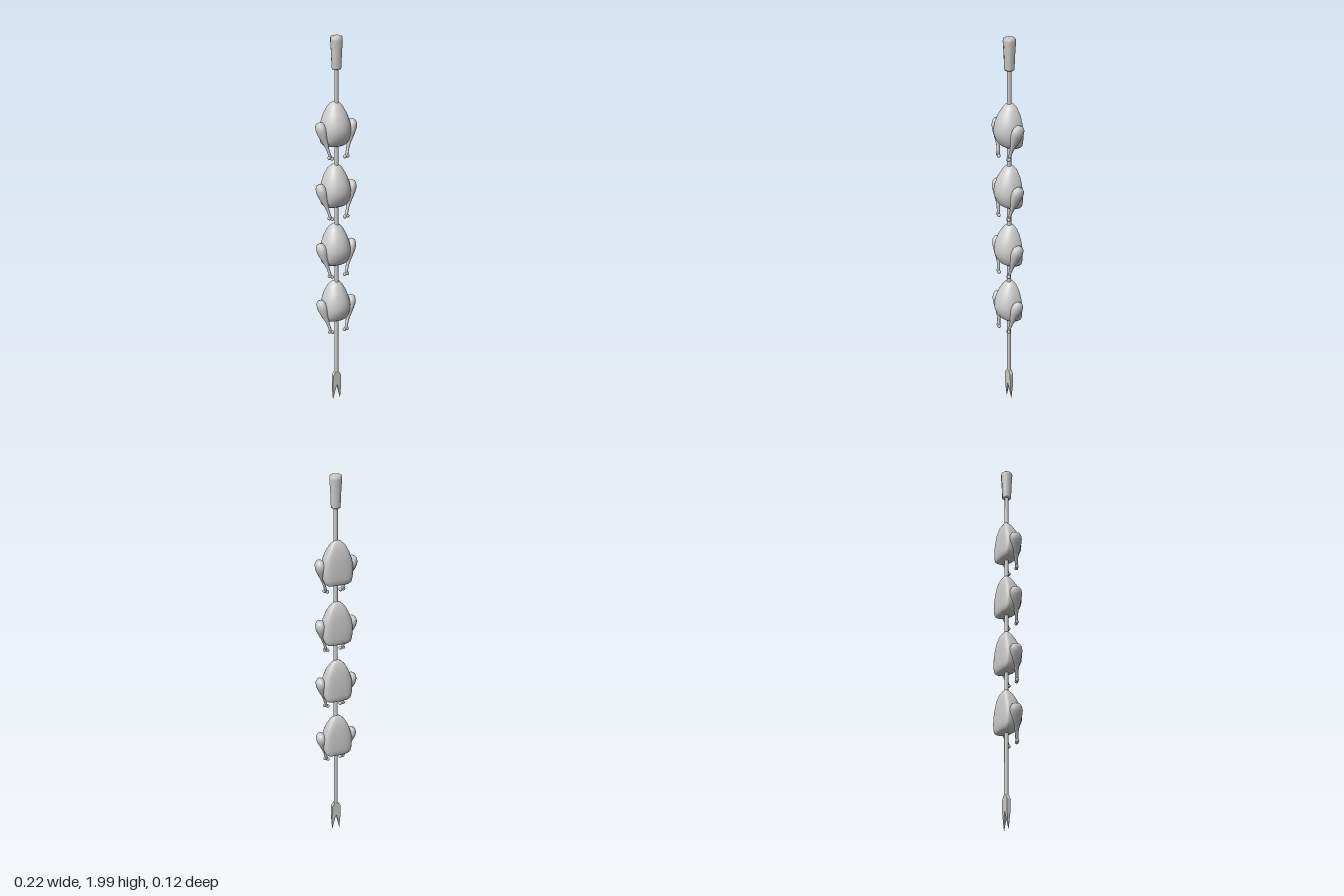
import * as THREE from 'three';

const material = new THREE.MeshStandardMaterial({ color: 0xcccccc });
const flatMaterial = new THREE.MeshStandardMaterial({ color: 0xcccccc, flatShading: true });
const ROD_X = 0.003, ROD_Z = -0.012;

function addMesh(parent, name, geometry, mat = material) {
  const mesh = new THREE.Mesh(geometry, mat);
  mesh.name = name;
  parent.add(mesh);
  return mesh;
}

const lathe = (profile, sides) =>
  new THREE.LatheGeometry(profile.map(([r, y]) => new THREE.Vector2(r, y)), sides);

// Body: egg-shaped loft, round breast in front and flattened back
function bodyGeometry() {
  // height, half width, front z, back z
  const rings = [
    [0, 0.001, -0.019, -0.021], [0, 0.056, 0.014, -0.05], [0.01, 0.068, 0.03, -0.057],
    [0.03, 0.074, 0.046, -0.06], [0.06, 0.078, 0.059, -0.06], [0.09, 0.078, 0.062, -0.059],
    [0.125, 0.071, 0.056, -0.057], [0.165, 0.057, 0.04, -0.053], [0.2, 0.038, 0.016, -0.043],
    [0.217, 0.021, -0.002, -0.032], [0.224, 0.008, -0.014, -0.024], [0.225, 0.0005, -0.019, -0.02],
  ];
  const sides = 28, positions = [], index = [];
  for (const [y, w, front, back] of rings) {
    const middle = back + (front - back) * 0.3;
    for (let i = 0; i < sides; i++) {
      const a = (i / sides) * Math.PI * 2;
      const c = Math.cos(a), s = Math.sin(a);
      const power = s > 0 ? 0.9 : 0.6;
      const x = Math.sign(c) * Math.pow(Math.abs(c), power) * w;
      const depth = Math.pow(Math.abs(s), power);
      positions.push(x, y, middle + depth * ((s > 0 ? front : back) - middle));
    }
  }
  for (let r = 0; r < rings.length - 1; r++) {
    for (let i = 0; i < sides; i++) {
      const a = r * sides + i, b = r * sides + (i + 1) % sides;
      index.push(a, a + sides, b, b, a + sides, b + sides);
    }
  }
  const geometry = new THREE.BufferGeometry();
  geometry.setAttribute('position', new THREE.Float32BufferAttribute(positions, 3));
  geometry.setIndex(index);
  geometry.computeVertexNormals();
  return geometry;
}

// Drumstick: thick thigh running down to a thin ankle, hung from its top
function drumstickGeometry() {
  return lathe([
    [0, -0.19], [0.008, -0.186], [0.008, -0.165], [0.009, -0.14], [0.014, -0.115], [0.021, -0.09],
    [0.028, -0.062], [0.031, -0.04], [0.028, -0.02], [0.018, -0.005], [0, 0],
  ], 14).scale(0.86, 1, 1.08);
}

function makeBird(geos) {
  const bird = new THREE.Group();
  bird.name = 'roastBird';
  addMesh(bird, 'body', geos.body);
  for (const side of [-1, 1]) {
    const top = new THREE.Vector3(side * 0.092, 0.128, -0.012);
    const ankle = new THREE.Vector3(side * 0.043, -0.052, 0.021);
    const leg = new THREE.Group();
    leg.name = side > 0 ? 'leftLeg' : 'rightLeg';
    bird.add(leg);
    const drumstick = addMesh(leg, 'drumstick', geos.drumstick);
    drumstick.position.copy(top);
    drumstick.quaternion.setFromUnitVectors(
      new THREE.Vector3(0, -1, 0), ankle.clone().sub(top).normalize());
    // Two knuckles on the end of the bone
    for (const k of [-1, 1]) {
      const knuckle = addMesh(leg, 'knuckle', geos.knuckle);
      knuckle.position.set(ankle.x + k * 0.007, ankle.y + k * side * 0.002, ankle.z + k * 0.002);
    }
  }
  return bird;
}

// Fork tip: thin plate with two pointed prongs, tapering in thickness to the points
function forkGeometry() {
  const shape = new THREE.Shape([
    [-0.01, 0.18], [-0.023, 0.16], [-0.024, 0.09], [-0.021, 0.012], [-0.002, 0.1], [0.002, 0.1],
    [0.021, 0.012], [0.024, 0.09], [0.023, 0.16], [0.01, 0.18],
  ].map(([x, y]) => new THREE.Vector2(x, y)));
  const geometry = new THREE.ExtrudeGeometry(shape, { depth: 0.02, bevelEnabled: false });
  geometry.translate(0, 0, -0.01);
  const p = geometry.attributes.position;
  for (let i = 0; i < p.count; i++) {
    p.setZ(i, p.getZ(i) * THREE.MathUtils.clamp((p.getY(i) - 0.005) / 0.1, 0.08, 1));
  }
  geometry.computeVertexNormals();
  return geometry;
}

export function createModel() {
  const model = new THREE.Group();
  model.name = 'skeweredBirds';

  // Skewer: handle, rod and fork share one axis
  const skewer = new THREE.Group();
  skewer.name = 'skewer';
  skewer.position.set(ROD_X, 0, ROD_Z);
  model.add(skewer);
  const rod = addMesh(skewer, 'rod', new THREE.CylinderGeometry(0.011, 0.011, 1.69, 8));
  rod.position.y = 1.015;
  addMesh(skewer, 'fork', forkGeometry(), flatMaterial);
  addMesh(skewer, 'handle', lathe([
    [0, 1.84], [0.023, 1.84], [0.025, 1.846], [0.028, 1.92], [0.032, 1.98], [0.031, 1.993],
    [0.025, 2], [0, 2],
  ], 8));

  // Four identical birds threaded on the rod
  const geos = {
    body: bodyGeometry(),
    drumstick: drumstickGeometry(),
    knuckle: new THREE.SphereGeometry(0.0095, 10, 8),
  };
  for (let i = 0; i < 4; i++) {
    const bird = makeBird(geos);
    bird.position.set(-0.001, 0.495 + i * 0.32, 0);
    model.add(bird);
  }
  return model;
}
